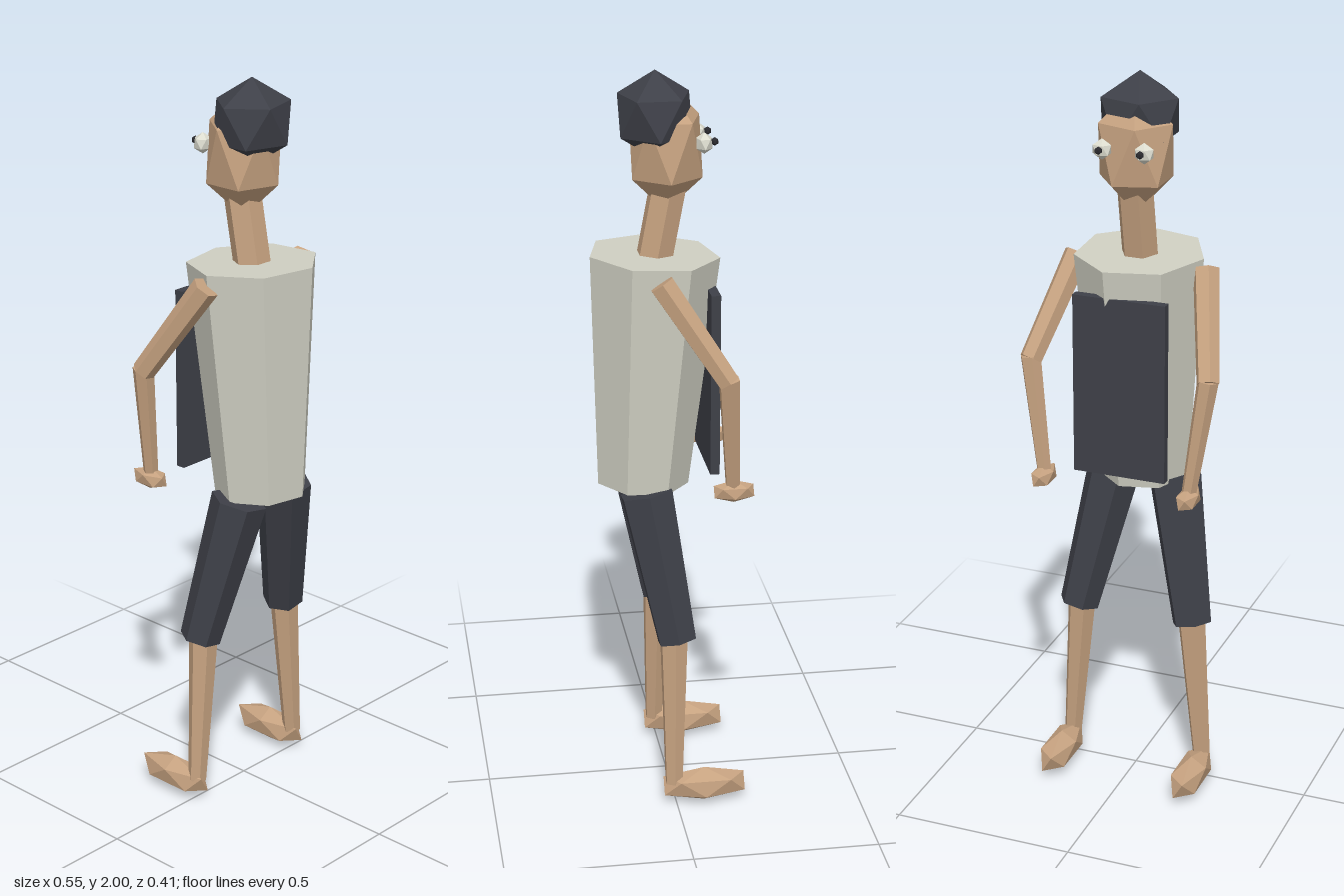
import * as THREE from 'three';

const mat = (color) => new THREE.MeshStandardMaterial({ color, flatShading: true });

export function createModel() {
  const skin = mat(0xc6a280);
  const shirt = mat(0xcfcfc2);
  const dark = mat(0x3e4048);
  const white = mat(0xdcdccf);
  const black = mat(0x2a2a2e);
  const UP = new THREE.Vector3(0, 1, 0);

  const add = (parent, name, geometry, material) => {
    const mesh = new THREE.Mesh(geometry, material);
    mesh.name = name;
    parent.add(mesh);
    return mesh;
  };

  // tapered prism between a bottom and a top point
  const prism = (parent, name, bottom, top, rBottom, rTop, sides, material) => {
    const a = new THREE.Vector3(...bottom);
    const b = new THREE.Vector3(...top);
    const axis = b.clone().sub(a);
    const geometry = new THREE.CylinderGeometry(rTop, rBottom, axis.length(), sides, 1, false, -Math.PI / 2);
    const mesh = add(parent, name, geometry, material);
    mesh.position.copy(a).add(b).multiplyScalar(0.5);
    mesh.quaternion.setFromUnitVectors(UP, axis.normalize());
    return mesh;
  };

  // stretched 20-sided ball with a corner pointing up
  const ball = (parent, name, center, size, material) => {
    const geometry = new THREE.IcosahedronGeometry(1, 0);
    geometry.rotateZ(Math.atan(2 / (1 + Math.sqrt(5))));
    geometry.scale(...size);
    const mesh = add(parent, name, geometry, material);
    mesh.position.set(...center);
    return mesh;
  };

  const model = new THREE.Group();
  model.name = 'figure';

  // trunk and head
  prism(model, 'torso', [0, 0.885, 0.065], [0, 1.518, 0.033], 0.125, 0.175, 7, shirt);
  prism(model, 'neck', [0, 1.48, 0.035], [0, 1.72, -0.01], 0.05, 0.05, 6, skin);
  ball(model, 'head', [0, 1.8, 0], [0.112, 0.17, 0.107], skin);
  ball(model, 'cap', [0, 1.885, 0.028], [0.117, 0.115, 0.109], dark);

  // flat board carried against the chest
  const board = add(model, 'board', new THREE.BoxGeometry(0.256, 0.495, 0.025), dark);
  board.position.set(0, 1.187, -0.1125);

  // eyes, arms and legs on both sides
  for (const s of [-1, 1]) {
    ball(model, 'eye', [s * 0.057, 1.82, -0.09], [0.028, 0.028, 0.024], white);
    ball(model, 'pupil', [s * 0.056, 1.823, -0.117], [0.011, 0.011, 0.011], black);

    const arm = new THREE.Group();
    arm.name = 'arm';
    const elbow = [s * 0.247, 1.24, -0.127];
    prism(arm, 'upperArm', elbow, [s * 0.18, 1.49, 0.037], 0.031, 0.036, 6, skin);
    prism(arm, 'forearm', [s * 0.205, 0.935, -0.147], [s * 0.247, 1.25, -0.127], 0.02, 0.029, 6, skin);
    ball(arm, 'hand', [s * 0.205, 0.922, -0.15], [0.031, 0.031, 0.062], skin);
    model.add(arm);

    const leg = new THREE.Group();
    leg.name = 'leg';
    prism(leg, 'trouserLeg', [s * 0.167, 0.48, -0.006], [s * 0.088, 0.882, 0.065], 0.056, 0.076, 6, dark);
    prism(leg, 'shin', [s * 0.195, 0.06, 0.006], [s * 0.16, 0.52, 0.002], 0.025, 0.041, 6, skin);
    ball(leg, 'foot', [s * 0.195, 0.05, -0.078], [0.048, 0.05, 0.131], skin);
    model.add(leg);
  }

  return model;
}
